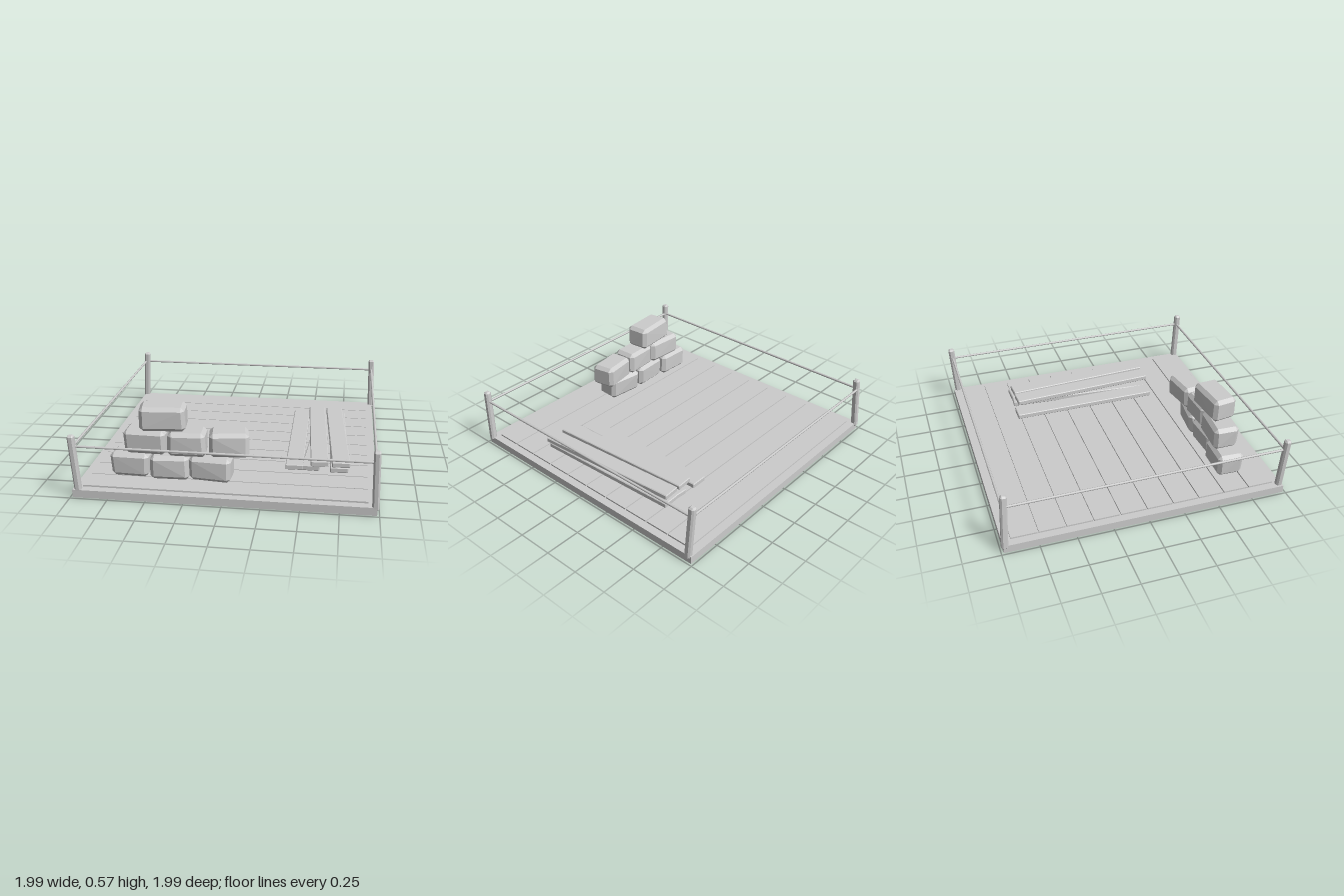
import * as THREE from 'three';
import { ConvexGeometry } from 'three/addons/geometries/ConvexGeometry.js';

// Box with chamfered edges; wobble shifts each corner a little for a hewn look
function chamferBox(w, h, d, b, wobble = 0, seed = 1) {
  let s = seed * 7919;
  const rand = () => ((s = (s * 16807 + 11) % 2147483647) / 2147483647 - 0.5) * 2 * wobble;
  const pts = [];
  for (const x of [-1, 1]) for (const y of [-1, 1]) for (const z of [-1, 1]) {
    const c = new THREE.Vector3(x * w / 2 - x * Math.abs(rand()), y * h / 2, z * d / 2 - z * Math.abs(rand()));
    pts.push(
      new THREE.Vector3(c.x, c.y - y * b, c.z - z * b),
      new THREE.Vector3(c.x - x * b, c.y, c.z - z * b),
      new THREE.Vector3(c.x - x * b, c.y - y * b, c.z),
    );
  }
  return new ConvexGeometry(pts);
}

export function createModel() {
  const group = new THREE.Group();
  const grey = new THREE.MeshStandardMaterial({ color: 0xcccccc });
  grey.name = 'plain grey';

  const add = (name, geometry, x = 0, y = 0, z = 0, turn = 0) => {
    const mesh = new THREE.Mesh(geometry, grey);
    mesh.name = name;
    mesh.position.set(x, y, z);
    mesh.rotation.y = turn;
    group.add(mesh);
    return mesh;
  };

  // Platform base and ten floor boards
  add('base', new THREE.BoxGeometry(1.97, 0.054, 1.97), 0, 0.027, 0);
  for (let i = 0; i < 10; i++) {
    add('floorBoard', new THREE.BoxGeometry(1.86, 0.02, 0.178), 0, 0.055, -0.837 + i * 0.186);
  }

  // Leaning corner posts: bottom x, z and top x, z
  const up = new THREE.Vector3(0, 1, 0);
  for (const [bx, bz, tx, tz] of [
    [-0.948, 0.962, -0.972, 0.975],
    [0.975, 0.962, 0.964, 0.975],
    [0.975, -0.952, 0.964, -0.974],
    [-0.972, -0.974, -0.95, -0.952],
  ]) {
    const a = new THREE.Vector3(bx, 0.03, bz);
    const b = new THREE.Vector3(tx, 0.435, tz);
    const dir = b.clone().sub(a);
    const post = add('cornerPost', chamferBox(0.045, dir.length(), 0.045, 0.011));
    post.position.copy(a).lerp(b, 0.5);
    post.quaternion.setFromUnitVectors(up, dir.normalize());
  }

  // Thin rails between the posts
  for (const s of [-1, 1]) {
    const rail = new THREE.CylinderGeometry(0.0085, 0.0085, 1.92, 8);
    add('crossRail', rail, 0, 0.355, s * 0.968).rotation.z = Math.PI / 2;
    add('sideRail', rail, s * 0.965, 0.355, 0).rotation.x = Math.PI / 2;
  }

  // Stacked stone blocks: x, y, z, length, turn
  [
    [-0.655, 0.15, 0.68, 0.27, -0.03],
    [-0.385, 0.15, 0.7, 0.275, 0.06],
    [-0.105, 0.15, 0.7, 0.29, -0.1],
    [-0.55, 0.315, 0.68, 0.295, -0.03],
    [-0.27, 0.315, 0.69, 0.265, 0.06],
    [0.005, 0.315, 0.666, 0.27, 0.13],
    [-0.435, 0.483, 0.685, 0.318, 0.1],
  ].forEach(([x, y, z, length, turn], i) => {
    add('stoneBlock', chamferBox(length, 0.166, 0.19, 0.025, 0.012, i + 1), x, y, z, turn);
  });

  // Loose planks in two layers: back x, back z, front x, front z, y
  for (const [x0, z0, x1, z1, y] of [
    [0.42, -0.58, 0.432, 0.513, 0.087],
    [0.612, -0.57, 0.543, 0.513, 0.087],
    [0.7, -0.572, 0.738, 0.525, 0.087],
    [0.54, -0.552, 0.605, 0.538, 0.132],
    [0.675, -0.555, 0.75, 0.54, 0.132],
  ]) {
    const length = Math.hypot(x1 - x0, z1 - z0);
    add('loosePlank', chamferBox(0.122, 0.037, length, 0.005),
      (x0 + x1) / 2, y, (z0 + z1) / 2, Math.atan2(x1 - x0, z1 - z0));
  }

  return group;
}
